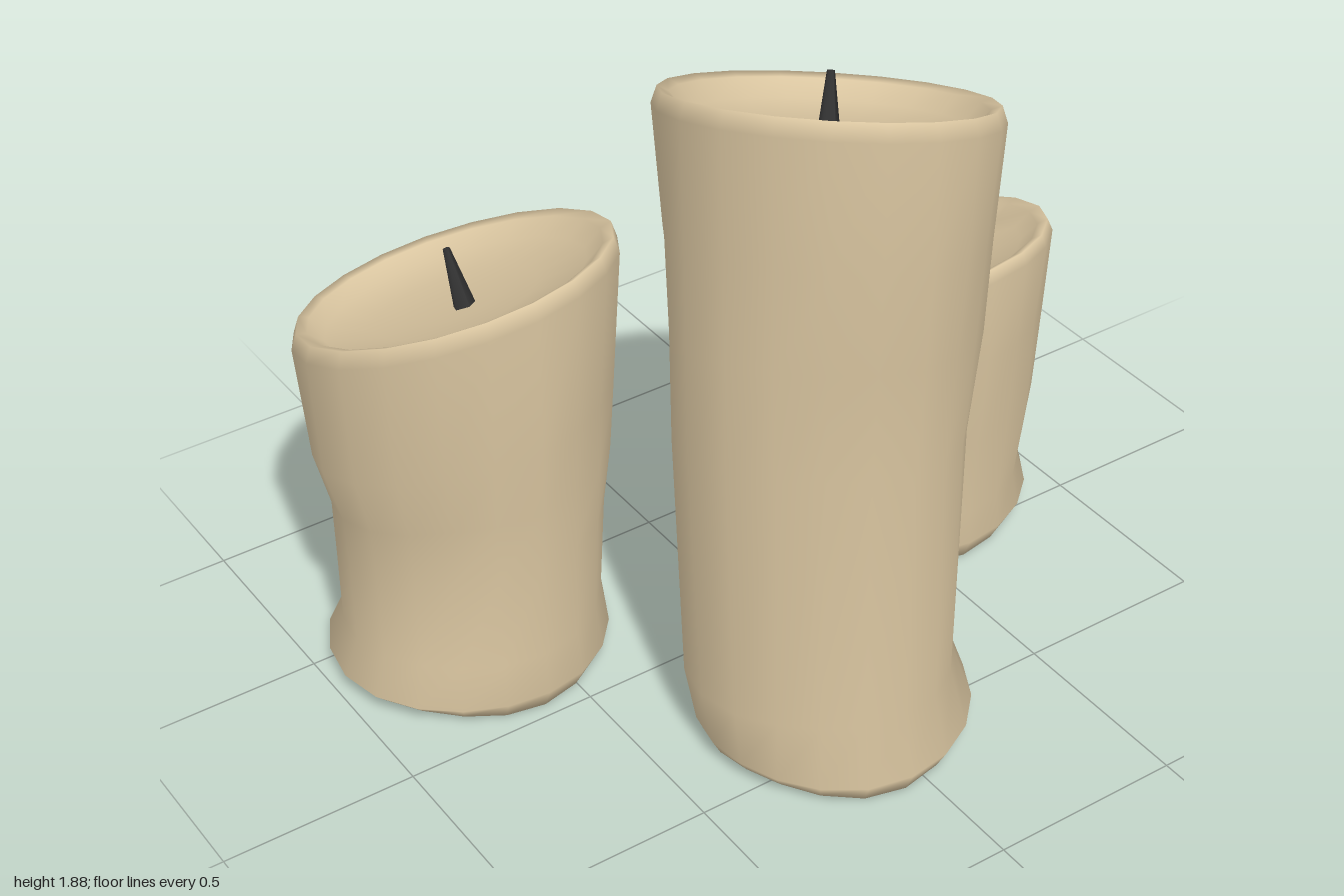
import * as THREE from 'three';

const SIDES = 20;
const wax = new THREE.MeshStandardMaterial({ color: 0xd9c5a0 });
const char = new THREE.MeshStandardMaterial({ color: 0x333333 });

// Each candle: centre, rim height h with slope (a along x, b along z), bowl depth.
// rows: [height fraction, radius at +x, +z, -x, -z]
const CANDLES = [
  {
    name: 'tallCandle', x: -0.06, z: 0.36, h: 1.73, a: -0.29, b: 0.3, depth: 0.1,
    rows: [
      [0.03, 0.37, 0.37, 0.32, 0.29],
      [0.12, 0.32, 0.335, 0.35, 0.31],
      [0.5, 0.33, 0.34, 0.38, 0.32],
      [0.66, 0.36, 0.36, 0.38, 0.34],
      [0.8, 0.37, 0.375, 0.38, 0.375],
      [0.975, 0.385, 0.38, 0.385, 0.385],
    ],
  },
  {
    name: 'mediumCandle', x: -0.605, z: -0.365, h: 1.08, a: 0.12, b: 0.36, depth: 0.08,
    rows: [
      [0.045, 0.33, 0.35, 0.375, 0.37],
      [0.14, 0.32, 0.34, 0.335, 0.335],
      [0.36, 0.34, 0.35, 0.335, 0.375],
      [0.5, 0.36, 0.36, 0.34, 0.375],
      [0.65, 0.37, 0.375, 0.38, 0.375],
      [0.96, 0.395, 0.385, 0.395, 0.38],
    ],
  },
  {
    name: 'shortCandle', x: 0.6, z: -0.235, h: 0.78, a: 0.05, b: 0.37, depth: 0.07, dent: -0.32,
    rows: [
      [0.06, 0.375, 0.345, 0.31, 0.34],
      [0.16, 0.355, 0.335, 0.3, 0.325],
      [0.42, 0.38, 0.36, 0.33, 0.36],
      [0.7, 0.39, 0.38, 0.37, 0.37],
      [0.96, 0.4, 0.385, 0.4, 0.375],
    ],
  },
];

// Bowl loops: [fraction of rim radius, fraction of bowl depth]
const BOWL = [[0.965, 0], [0.9, 0.12], [0.8, 0.6], [0.5, 0.88], [0.25, 0.97]];

// Smooth closed interpolation of four radii, with furrows between the drips
function radiusAt(row, angle) {
  const u = (angle / (Math.PI * 2)) * 4;
  const i = Math.floor(u), t = u - i;
  const s = t * t * (3 - 2 * t);
  const furrow = 0.022 * Math.sin(Math.PI * row[0]) * Math.sin(2 * angle) ** 2;
  return row[1 + i] * (1 - s) + row[1 + ((i + 1) % 4)] * s - furrow * (1 + 0.6 * Math.sin(3 * angle + 5 * row[0]));
}

function waxGeometry({ x, z, h, a, b, depth, dent, rows }) {
  const pos = [x, 0.03, z];
  const index = [];
  const rim = rows[rows.length - 1];
  const angles = Array.from({ length: SIDES }, (_, j) => (j / SIDES) * Math.PI * 2);
  const put = (r, t, y) => pos.push(x + r * Math.cos(t), y, z + r * Math.sin(t));
  const plane = (r, t) => h + r * (a * Math.cos(t) + b * Math.sin(t));

  // Underside edge, lumpy and tucked in
  for (const t of angles) put(radiusAt(rows[0], t) * 0.93, t, 0.012 + 0.012 * Math.sin(3 * t));
  // Outer wall with flared foot and drips
  for (const row of rows) {
    for (const t of angles) put(radiusAt(row, t), t, row[0] * plane(radiusAt(rim, t), t));
  }
  // Sloping rim and melted bowl, with an optional dent in its wall
  for (const [f, d] of BOWL) {
    for (const t of angles) {
      const r = radiusAt(rim, t) * f;
      const pit = dent !== undefined && f === 0.8 ? 0.05 * Math.exp(-60 * (1 - Math.cos(t - dent))) : 0;
      put(r, t, plane(r, t) - d * depth - pit);
    }
  }
  const top = pos.length / 3;
  pos.push(x, h - depth, z);

  // Skin the loops and close both ends
  const loops = 1 + rows.length + BOWL.length;
  for (let j = 0; j < SIDES; j++) {
    const n = (j + 1) % SIDES;
    index.push(0, 1 + j, 1 + n);
    for (let i = 0; i < loops - 1; i++) {
      const lo = 1 + i * SIDES, hi = lo + SIDES;
      index.push(lo + j, hi + j, lo + n, lo + n, hi + j, hi + n);
    }
    const last = 1 + (loops - 1) * SIDES;
    index.push(last + j, top, last + n);
  }
  const geo = new THREE.BufferGeometry();
  geo.setAttribute('position', new THREE.Float32BufferAttribute(pos, 3));
  geo.setIndex(index);
  geo.computeVertexNormals();
  return geo;
}

// Tapered wick rising from the bowl and leaning back
function makeWick({ x, z, h, a, depth }) {
  const geo = new THREE.CylinderGeometry(0.009, 0.032, 0.18, 5).translate(0, 0.09, 0);
  const mesh = new THREE.Mesh(geo, char);
  const lean = a < 0 ? 0.22 : -0.11;
  mesh.position.set(x - lean * 0.12, h - depth - 0.02, z + 0.03);
  mesh.rotation.set(-0.27, 0, -lean);
  mesh.name = 'wick';
  return mesh;
}

export function createModel() {
  const model = new THREE.Group();
  model.name = 'candles';
  for (const spec of CANDLES) {
    const candle = new THREE.Group();
    candle.name = spec.name;
    const body = new THREE.Mesh(waxGeometry(spec), wax);
    body.name = 'waxBody';
    candle.add(body, makeWick(spec));
    model.add(candle);
  }
  return model;
}
